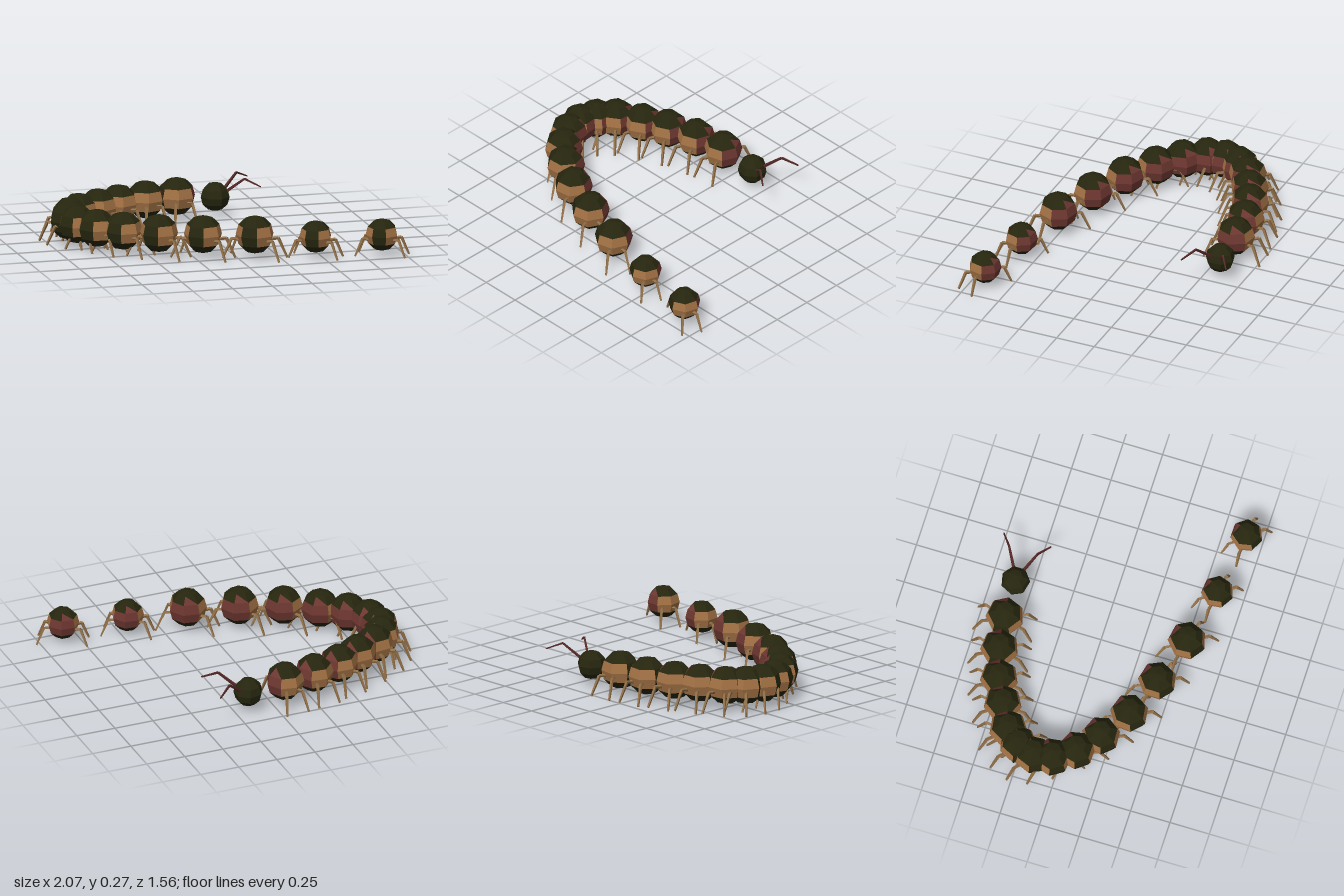
import * as THREE from 'three';

const mat = (name, color, flat = true) => {
  const m = new THREE.MeshStandardMaterial({ color, flatShading: flat });
  m.name = name;
  return m;
};

export function createModel() {
  const model = new THREE.Group();
  model.name = 'manyLeggedCrawler';
  const shell = mat('dark olive shell', 0x26260f);
  const red = mat('dull red front', 0x6c3630);
  const tan = mat('tan flank', 0xa27144);
  const legMat = mat('pale brown leg', 0x937149);
  const feelerMat = mat('dark red feeler', 0x552826);

  // Seven-sided ball: red front, tan flanks, dark back, top and underside
  const SIDES = 7;
  const around = [red, tan, tan, shell, tan, tan, red];
  const palette = [shell, red, tan];
  function ballGeometry(r) {
    const g = new THREE.SphereGeometry(r, SIDES, 6).rotateY(Math.PI);
    g.clearGroups();
    const tris = g.index.count / 3;
    for (let t = 0; t < tris; t++) {
      const k = t - SIDES;                       // skip the top cap
      const row = 1 + Math.floor(k / (SIDES * 2));
      const within = ((k % (SIDES * 2)) + SIDES * 2) % (SIDES * 2);
      const side = Math.floor(within / 2);
      let m = shell;
      if (k >= 0 && (row === 2 || row === 3)) m = around[side];
      if (k >= 0 && row === 1 && within === 1) m = red;
      g.addGroup(t * 3, 3, palette.indexOf(m));
    }
    return g;
  }

  // Tapered four-sided rod between two points
  function rod(name, a, b, ra, rb, material) {
    const dir = b.clone().sub(a);
    const mesh = new THREE.Mesh(new THREE.CylinderGeometry(rb, ra, dir.length(), 4), material);
    mesh.name = name;
    mesh.position.copy(a).add(b).multiplyScalar(0.5);
    mesh.quaternion.setFromUnitVectors(new THREE.Vector3(0, 1, 0), dir.normalize());
    return mesh;
  }

  // Body segments along a curved trail: x, z
  const trail = [
    [-0.08, -0.585], [-0.285, -0.555], [-0.47, -0.5], [-0.62, -0.43], [-0.765, -0.35],
    [-0.845, -0.26], [-0.88, -0.155], [-0.86, -0.04], [-0.775, 0.085], [-0.64, 0.2],
    [-0.45, 0.32], [-0.2, 0.42], [0.1, 0.515], [0.46, 0.595], [0.86, 0.655],
  ];
  trail.forEach(([x, z], i) => {
    const r = i > 12 ? 0.1 : 0.118;
    const y = r + 0.03;
    const segment = new THREE.Group();
    segment.name = 'segment' + (i + 1);
    segment.position.set(x, 0, z);
    segment.rotation.y = THREE.MathUtils.degToRad(4 + i * 4.2);

    const body = new THREE.Mesh(ballGeometry(r), palette);
    body.name = 'segmentBody';
    body.position.y = y;
    segment.add(body);

    // Two bent legs on each flank
    for (const side of [-1, 1]) {
      for (const splay of [-1, 1]) {
        const angle = THREE.MathUtils.degToRad(90 + splay * 22);
        const at = (d, h) => new THREE.Vector3(Math.cos(angle) * d, h, side * Math.sin(angle) * d);
        const knee = at(r * 1.2, y * 0.85);
        segment.add(rod('upperLeg', at(r * 0.75, y * 0.8), knee, 0.01, 0.01, legMat));
        segment.add(rod('lowerLeg', knee, at(r * 1.66, 0.003), 0.011, 0.007, legMat));
      }
    }
    model.add(segment);
  });

  // Head
  const head = new THREE.Mesh(new THREE.SphereGeometry(0.09, SIDES, 6), shell);
  head.name = 'head';
  head.position.set(0.165, 0.128, -0.595);
  model.add(head);

  // Bent feelers
  for (const side of [-1, 1]) {
    const p = (x, y, z) => new THREE.Vector3(x, y, -0.595 + side * z);
    const bend = p(0.325, 0.247, 0.09);
    model.add(rod('feelerBase', p(0.22, 0.155, 0.025), bend, 0.011, 0.008, feelerMat));
    model.add(rod('feelerTip', bend, p(0.41, 0.205, 0.15), 0.008, 0.005, feelerMat));
  }
  return model;
}
